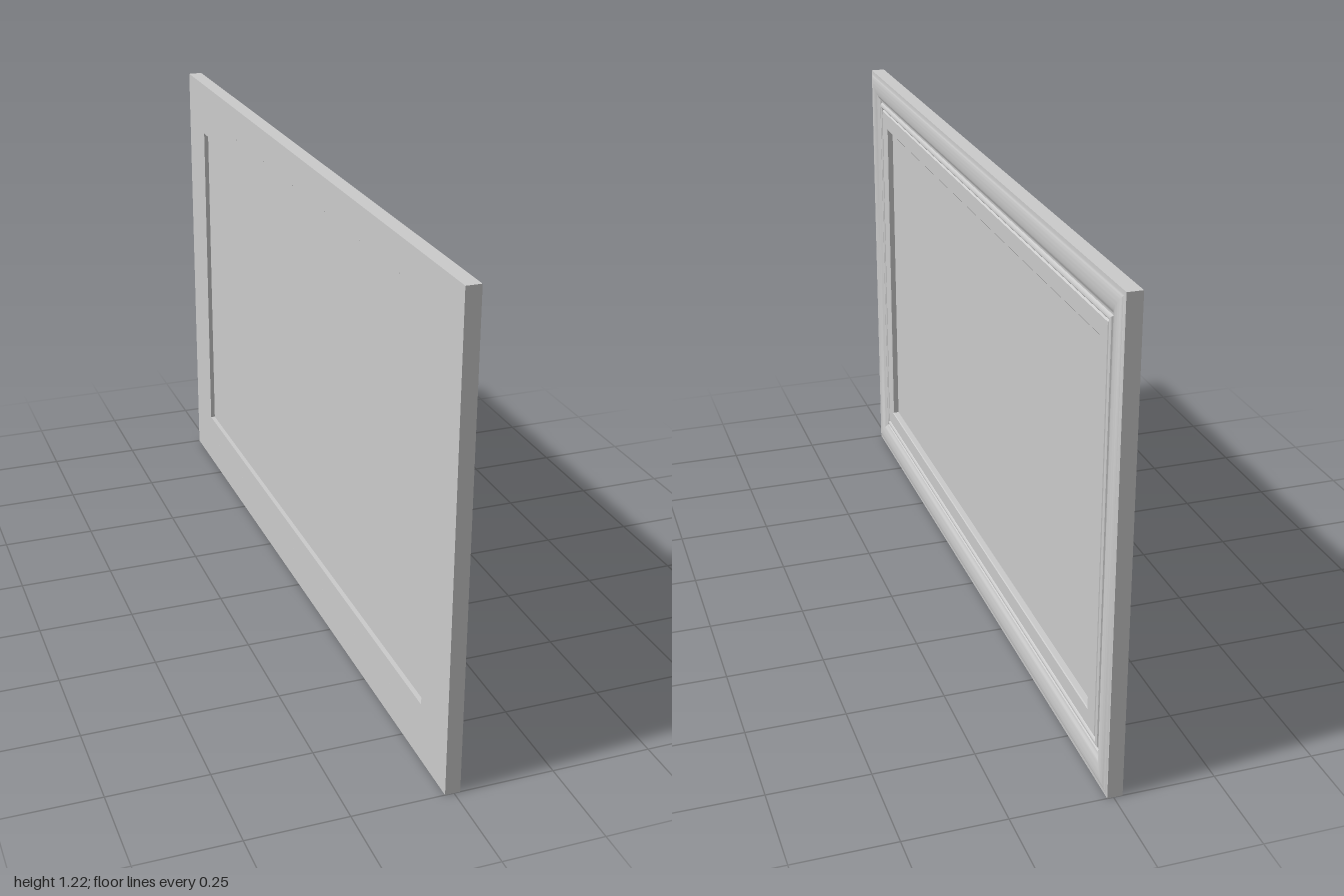
import * as THREE from 'three';
import { toCreasedNormals } from 'three/addons/utils/BufferGeometryUtils.js';

const H = 1.222, HALF = 1;
const INSET = 0.148; // width of the frame border

// Sweep a closed [inset, x] profile around the rectangle with mitred corners
function mitredFrame(profile) {
  const corner = ([t, x], i) => {
    const z = (i === 1 || i === 2 ? 1 : -1) * (HALF - t);
    const y = i >= 2 ? H - t : t;
    return [x, y, z];
  };
  const pos = [];
  profile.forEach((a, k) => {
    const b = profile[(k + 1) % profile.length];
    for (let i = 0; i < 4; i++) {
      const j = (i + 1) % 4;
      const a0 = corner(a, i), a1 = corner(a, j), b0 = corner(b, i), b1 = corner(b, j);
      pos.push(...a0, ...b1, ...a1, ...a0, ...b0, ...b1);
    }
  });
  const g = new THREE.BufferGeometry();
  g.setAttribute('position', new THREE.Float32BufferAttribute(pos, 3));
  return toCreasedNormals(g, 0.5);
}

export function createModel() {
  const group = new THREE.Group();
  const mat = new THREE.MeshStandardMaterial({ color: 0xcccccc });
  const add = (geo, name) => {
    const m = new THREE.Mesh(geo, mat);
    m.name = name;
    group.add(m);
    return m;
  };

  // Moulding profile: outer fillet, broad rounded crown, small bead, flat, inner lip
  const crown = new THREE.CubicBezierCurve(
    new THREE.Vector2(0.012, 0.0165), new THREE.Vector2(0.026, 0.0235),
    new THREE.Vector2(0.05, 0.0235), new THREE.Vector2(0.073, 0.01));
  const profile = [[0, -0.022], [0, 0.0155], [0.009, 0.0155]];
  for (const p of crown.getPoints(12)) profile.push([p.x, p.y]);
  profile.push([0.075, 0.006], [0.081, 0.006]);
  for (let i = 0; i <= 6; i++) {
    const a = Math.PI * (1 - i / 6);
    profile.push([0.0885 + 0.0065 * Math.cos(a), 0.008 + 0.005 * Math.sin(a)]);
  }
  profile.push([0.097, 0.006], [0.101, 0.011], [INSET - 0.003, 0.011],
    [INSET, 0.009], [INSET, -0.022]);
  add(mitredFrame(profile), 'frame');

  // Thin recessed panel
  const panel = add(new THREE.BoxGeometry(0.004, H - 2 * INSET + 0.01, 2 * (HALF - INSET) + 0.01), 'panel');
  panel.position.set(-0.008, H / 2, 0);

  // Tiny fixings along the back of the top and bottom rails
  const pin = new THREE.CylinderGeometry(0.003, 0.003, 0.001, 8).rotateZ(Math.PI / 2);
  for (const y of [0.085, H - 0.085]) {
    for (let i = -3; i <= 3; i++) {
      add(pin, 'backFixing').position.set(-0.022, y, -0.05 + i * 0.237);
    }
  }
  return group;
}
